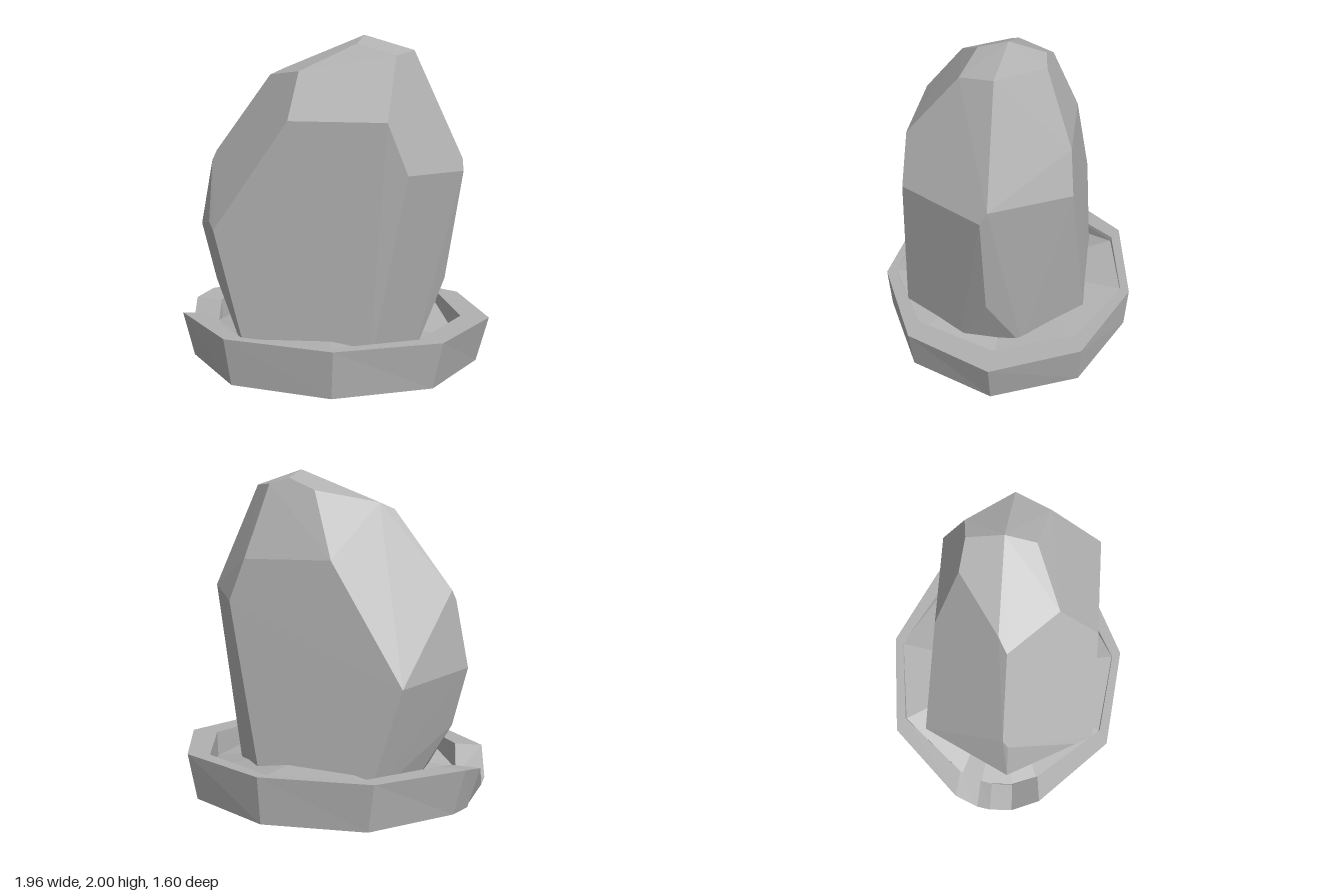
import * as THREE from 'three';
import { ConvexGeometry } from 'three/addons/geometries/ConvexGeometry.js';

const stone = new THREE.MeshStandardMaterial({ color: 0xb0b0b0 });
stone.name = 'greyStone';

// Shallow faceted tray: cross-section rows swept round the rim stations
function trayGeometry() {
  // outer x, outer z, rim height, inner floor height
  const stations = [
    [0.975, 0, 0.28, 0.12], [0.74, 0.525, 0.28, 0.2], [0.16, 0.8, 0.28, 0.275],
    [-0.5, 0.72, 0.28, 0.25], [-0.92, 0.28, 0.275, 0.12],
    [-0.97, 0.1, 0.125, 0.12], [-0.975, -0.05, 0.125, 0.12], // pouring notch
    [-0.98, -0.13, 0.25, 0.12], [-0.92, -0.28, 0.275, 0.12],
    [-0.5, -0.72, 0.28, 0.25], [0.16, -0.8, 0.28, 0.275], [0.74, -0.525, 0.28, 0.2],
  ];
  const section = ([x, z, rim, floor]) => [
    [0, 0, 0],
    [x * 0.925, 0, z * 0.98],
    [x, rim, z],
    [x * 0.82, rim, z * 0.93],
    [x * 0.815, Math.min(floor, rim), z * 0.925],
    [0, 0.27, 0],
  ];
  const pos = [];
  stations.forEach((s, i) => {
    const a = section(s);
    const b = section(stations[(i + 1) % stations.length]);
    for (let r = 0; r < a.length - 1; r++) {
      if (r < a.length - 2) pos.push(...a[r], ...a[r + 1], ...b[r + 1]);
      else pos.push(...a[r], ...a[r + 1], ...b[r]);
      if (r > 0 && r < a.length - 2) pos.push(...a[r], ...b[r + 1], ...b[r]);
    }
  });
  const geo = new THREE.BufferGeometry();
  geo.setAttribute('position', new THREE.Float32BufferAttribute(pos, 3));
  geo.computeVertexNormals();
  return geo;
}

// Faceted boulder: convex hull of its corner points
function boulderGeometry() {
  const corners = [
    // front face
    [-0.38, 0.1, 0.625], [0.33, 0.1, 0.625], [0.53, 1.23, 0.545],
    [0.41, 1.52, 0.53], [-0.16, 1.52, 0.53], [-0.6, 0.88, 0.57],
    // crown
    [-0.15, 1.79, 0.3], [0.17, 1.95, 0.155], [0.41, 1.88, 0.22],
    [0.18, 2, -0.02], [0.49, 1.91, 0.02], [-0.4, 1.76, 0.03], [-0.32, 1.8, -0.02],
    [0.01, 1.87, -0.255], [0.18, 1.945, -0.23], [0.3, 1.91, -0.245],
    // back face
    [0.25, 0.1, -0.525], [-0.4, 0.1, -0.525], [-0.59, 0.76, -0.47],
    [-0.14, 1.47, -0.4], [0.4, 1.47, -0.4], [0.49, 1.22, -0.425],
    // left flank
    [0.79, 1.27, 0.02], [0.8, 1.2, 0.06], [0.7, 0.53, 0.05],
    [0.54, 0.1, 0.25], [0.54, 0.1, -0.15],
    // right flank
    [-0.76, 1.28, 0.03], [-0.78, 1.22, 0.06], [-0.66, 0.91, 0.47],
    [-0.86, 0.81, 0.06], [-0.77, 0.45, 0.06], [-0.57, 0.1, 0.2], [-0.57, 0.1, -0.12],
  ];
  return new ConvexGeometry(corners.map((p) => new THREE.Vector3(...p)));
}

export function createModel() {
  const group = new THREE.Group();
  group.name = 'boulderOnTray';
  const add = (name, geometry) => {
    const mesh = new THREE.Mesh(geometry, stone);
    mesh.name = name;
    group.add(mesh);
  };
  add('tray', trayGeometry());
  add('boulder', boulderGeometry());
  return group;
}
